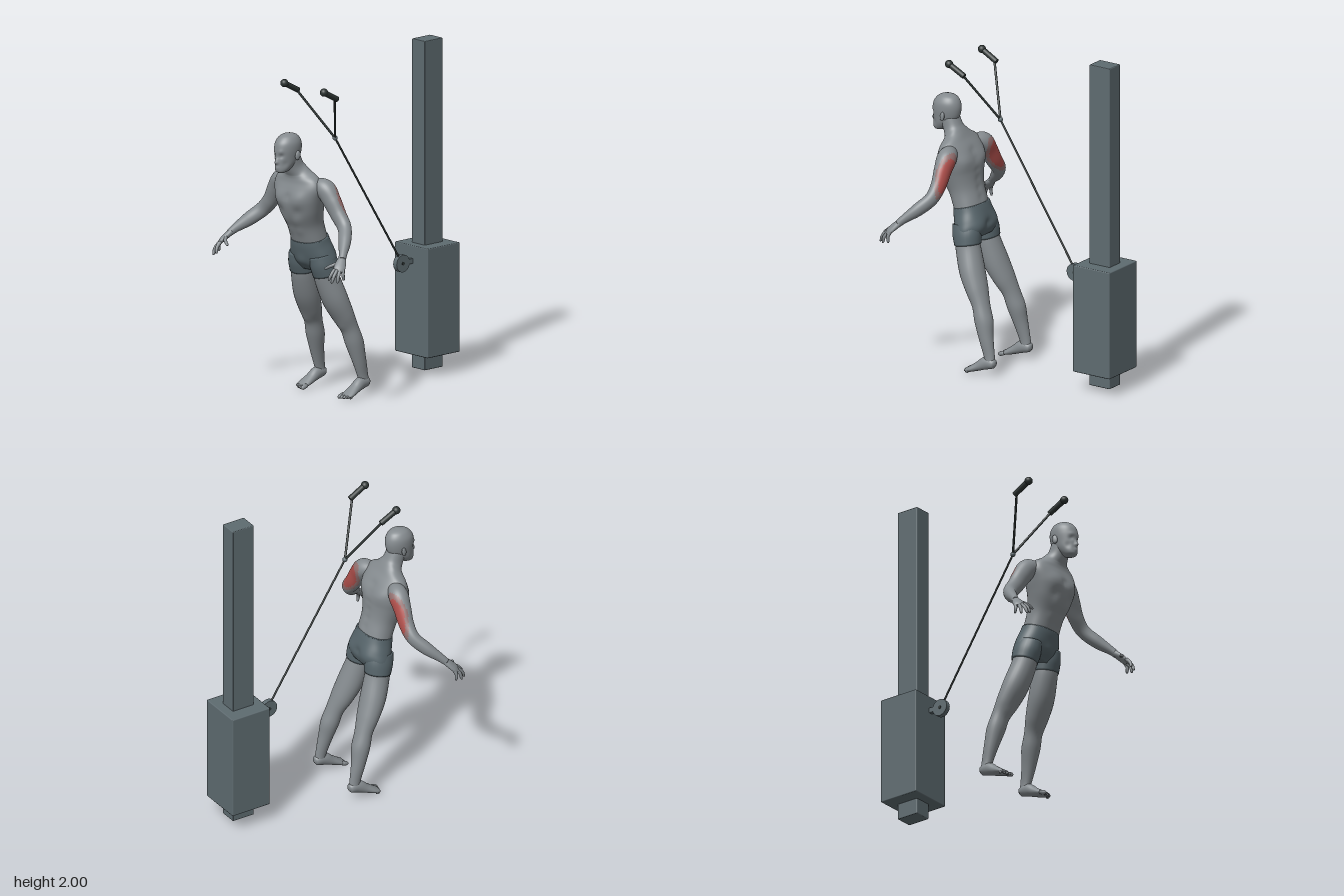
import * as THREE from 'three';
import { RoundedBoxGeometry } from 'three/addons/geometries/RoundedBoxGeometry.js';

const mat = (name, color) => {
  const m = new THREE.MeshStandardMaterial({ color });
  m.name = name;
  return m;
};
const V = (x, y, z) => new THREE.Vector3(x, y, z);

export function createModel() {
  const skin = mat('skin grey', 0x858b8f);
  const tint = mat('muscle edge', 0x92706f);
  const red = mat('worked muscle', 0xb0504c);
  const cloth = mat('shorts grey', 0x56646a);
  const steel = mat('machine grey', 0x5e6b70);
  const dark = mat('cable black', 0x2e3534);

  const model = new THREE.Group();
  const group = (name, parent = model) => {
    const g = new THREE.Group();
    g.name = name;
    parent.add(g);
    return g;
  };
  const add = (parent, name, geo, material, pos) => {
    const m = new THREE.Mesh(geo, material);
    m.name = name;
    if (pos) m.position.set(...pos);
    parent.add(m);
    return m;
  };
  // Straight rod between two points
  const rod = (parent, name, a, b, r, material, sides = 12) => {
    const d = b.clone().sub(a);
    const m = add(parent, name, new THREE.CylinderGeometry(r, r, d.length(), sides), material);
    m.position.copy(a).addScaledVector(d, 0.5);
    m.quaternion.setFromUnitVectors(V(0, 1, 0), d.normalize());
    return m;
  };

  // Smooth skin over elliptical sections [x, y, z, half-width along ref, half-depth].
  // bumps: [x, y, z, radius, push], mirrored in x. pick: material index per face.
  const loft = (sections, { ref = V(1, 0, 0), normal, seg = 28, sub = 6, power = 1, bumps = [], pick } = {}) => {
    const path = new THREE.CatmullRomCurve3(sections.map(s => V(s[0], s[1], s[2])), false, 'catmullrom');
    const size = new THREE.CatmullRomCurve3(sections.map(s => V(s[3], s[4], 0)), false, 'catmullrom');
    const rows = (sections.length - 1) * sub, pos = [], lists = [[], [], []];
    const outs = [];
    const sp = v => Math.sign(v) * Math.abs(v) ** power;
    for (let i = 0; i <= rows; i++) {
      const c = path.getPoint(i / rows), r = size.getPoint(i / rows);
      const n = normal || path.getTangent(i / rows);
      const u = ref.clone().addScaledVector(n, -ref.dot(n)).normalize();
      const v = n.clone().cross(u);
      for (let j = 0; j < seg; j++) {
        const a = j / seg * Math.PI * 2;
        const o = u.clone().multiplyScalar(r.x * sp(Math.cos(a))).addScaledVector(v, r.y * sp(Math.sin(a)));
        const p = c.clone().add(o), dir = o.normalize();
        let push = 0;
        for (const [x, y, z, rad, h] of bumps) {
          const d2 = (Math.abs(p.x) - x) ** 2 + (p.y - y) ** 2 + (p.z - z) ** 2;
          push += h * Math.exp(-d2 / (rad * rad));
        }
        p.addScaledVector(dir, push);
        pos.push(p.x, p.y, p.z);
        outs.push(dir);
      }
    }
    for (let i = 0; i < rows; i++) for (let j = 0; j < seg; j++) {
      const k = (j + 1) % seg, a = i * seg + j, b = i * seg + k, c = a + seg, d = b + seg;
      lists[pick ? pick((i + 0.5) / rows, outs[a]) : 0].push(a, b, d, a, d, c);
    }
    // Closed ends
    const first = path.getPoint(0), last = path.getPoint(1), e = pos.length / 3;
    pos.push(first.x, first.y, first.z, last.x, last.y, last.z);
    for (let j = 0; j < seg; j++) {
      const k = (j + 1) % seg;
      lists[0].push(e, k, j, e + 1, rows * seg + j, rows * seg + k);
    }
    const geo = new THREE.BufferGeometry();
    geo.setAttribute('position', new THREE.Float32BufferAttribute(pos, 3));
    geo.setIndex(lists.flat());
    let start = 0;
    if (pick) lists.forEach((l, i) => { geo.addGroup(start, l.length, i); start += l.length; });
    geo.computeVertexNormals();
    return geo;
  };
  const flip = (sections, s) => sections.map(([x, ...rest]) => [x * s, ...rest]);

  // Cable tower
  const tower = group('cableTower');
  add(tower, 'column', new RoundedBoxGeometry(0.11, 1.97, 0.145, 2, 0.005), steel, [0, 1.015, -0.56]);
  add(tower, 'weightHousing', new RoundedBoxGeometry(0.28, 0.655, 0.26, 2, 0.006), steel, [0, 0.4525, -0.56]);
  add(tower, 'pulleyBracket', new THREE.BoxGeometry(0.028, 0.03, 0.09), steel, [0, 0.688, -0.392]);
  add(tower, 'pulley', new THREE.CylinderGeometry(0.052, 0.052, 0.03, 32), steel, [0, 0.685, -0.352]).rotation.z = Math.PI / 2;
  rod(tower, 'pulleyAxle', V(-0.018, 0.685, -0.352), V(0.018, 0.685, -0.352), 0.01, dark);

  // Cable, ring and twin handles
  const rope = group('cable');
  const knot = V(0, 1.52, 0.18);
  rod(rope, 'mainCable', V(0, 0.715, -0.338), knot, 0.006, dark);
  add(rope, 'ring', new THREE.SphereGeometry(0.015, 16, 12), steel, knot.toArray());
  for (const s of [1, -1]) {
    const low = V(s * 0.165, 1.803, 0.322), high = V(s * 0.168, 1.86, 0.428);
    rod(rope, 'strap', knot, V(s * 0.162, 1.806, 0.335), 0.007, dark);
    rod(rope, 'handleGrip', low, high, 0.017, dark, 20);
    add(rope, 'handleBall', new THREE.SphereGeometry(0.024, 20, 14), dark, high.toArray());
  }

  // Torso and neck
  const body = group('figure');
  const spine = Array.from({ length: 6 }, (_, i) => [0, 1.02 + i * 0.055, 0.325 + i * 0.01, 0.024, -0.006]);
  add(body, 'torso', loft([
    [0, 0.93, 0.378, 0.122, 0.085], [0, 0.98, 0.394, 0.118, 0.088], [0, 1.06, 0.42, 0.12, 0.092],
    [0, 1.15, 0.447, 0.145, 0.11], [0, 1.22, 0.458, 0.165, 0.112], [0, 1.29, 0.468, 0.18, 0.09],
    [0, 1.34, 0.48, 0.155, 0.067], [0, 1.375, 0.493, 0.095, 0.058], [0, 1.41, 0.513, 0.062, 0.056],
    [0, 1.47, 0.54, 0.056, 0.056],
  ], {
    seg: 56, power: 0.9,
    bumps: [[0.075, 1.225, 0.56, 0.05, 0.012], [0, 1.23, 0.575, 0.022, -0.009], [0.09, 1.26, 0.36, 0.05, 0.012],
      [0.035, 1.08, 0.525, 0.03, 0.005], [0.035, 1.02, 0.5, 0.03, 0.005], [0.07, 1.14, 0.55, 0.03, -0.008], ...spine],
  }), skin);

  // Head with brow, eye sockets, nose, lips and ears
  add(body, 'head', loft([
    [0, 1.384, 0.612, 0.018, 0.02], [0, 1.395, 0.604, 0.036, 0.042], [0, 1.43, 0.582, 0.053, 0.065],
    [0, 1.47, 0.564, 0.062, 0.083], [0, 1.52, 0.558, 0.069, 0.09], [0, 1.56, 0.556, 0.067, 0.084],
    [0, 1.59, 0.553, 0.052, 0.064], [0, 1.605, 0.552, 0.032, 0.039], [0, 1.612, 0.552, 0.006, 0.007],
  ], {
    normal: V(0, 1, 0), seg: 64, sub: 8,
    bumps: [[0.026, 1.489, 0.635, 0.015, -0.009], [0.025, 1.51, 0.64, 0.016, 0.004], [0, 1.448, 0.648, 0.011, 0.017],
      [0, 1.465, 0.648, 0.01, 0.009], [0, 1.416, 0.64, 0.013, 0.007], [0.04, 1.44, 0.62, 0.02, -0.005]],
  }), skin);
  for (const s of [1, -1]) {
    const ear = add(body, 'ear', new THREE.SphereGeometry(1, 18, 12), skin, [s * 0.07, 1.487, 0.545]);
    ear.scale.set(0.009, 0.028, 0.017);
    ear.rotation.set(-0.2, s * -0.3, 0);
  }

  // Shorts
  add(body, 'shortsSeat', loft([
    [0, 0.967, 0.386, 0.124, 0.092], [0, 0.93, 0.377, 0.133, 0.096], [0, 0.88, 0.363, 0.15, 0.096],
    [0, 0.83, 0.35, 0.162, 0.088], [0, 0.785, 0.34, 0.145, 0.066],
  ], {
    seg: 56, power: 0.9,
    bumps: [[0.075, 0.86, 0.28, 0.05, 0.013], [0, 0.87, 0.275, 0.022, -0.012], [0, 0.83, 0.44, 0.035, 0.01]],
  }), cloth);

  for (const s of [1, -1]) {
    const side = group(s > 0 ? 'leftLimbs' : 'rightLimbs', body);
    add(side, 'shortsLeg', loft(flip([
      [0.085, 0.87, 0.367, 0.065, 0.085], [0.092, 0.81, 0.355, 0.077, 0.088], [0.098, 0.748, 0.343, 0.079, 0.079],
    ], s)), cloth);

    // Leg
    add(side, 'leg', loft(flip([
      [0.095, 0.8, 0.355, 0.068, 0.072], [0.1, 0.72, 0.337, 0.074, 0.075], [0.12, 0.6, 0.296, 0.081, 0.074],
      [0.138, 0.5, 0.25, 0.073, 0.063], [0.153, 0.42, 0.212, 0.058, 0.051], [0.166, 0.33, 0.185, 0.055, 0.052],
      [0.178, 0.22, 0.156, 0.04, 0.043], [0.183, 0.13, 0.133, 0.028, 0.035], [0.185, 0.07, 0.12, 0.028, 0.03],
    ], s), { bumps: [[0.15, 0.43, 0.265, 0.03, 0.006], [0.16, 0.33, 0.135, 0.05, 0.006]] }), skin);

    // Foot and toes, heel raised
    add(side, 'foot', loft(flip([
      [0.185, 0.083, 0.086, 0.012, 0.012], [0.185, 0.084, 0.102, 0.028, 0.029], [0.185, 0.08, 0.15, 0.033, 0.038],
      [0.187, 0.054, 0.2, 0.037, 0.028], [0.19, 0.03, 0.25, 0.043, 0.019], [0.19, 0.02, 0.28, 0.038, 0.012],
    ], s)), skin);
    for (let i = 0; i < 5; i++) {
      const x = 0.156 + i * 0.0165, r = i ? 0.009 : 0.013, tip = 0.302 - i * i * 0.0018;
      add(side, 'toe', loft(flip([
        [x, 0.026, 0.262, r, r], [x, 0.016, tip - 0.012, r, r], [x, 0.012, tip, r * 0.4, r * 0.4],
      ], s), { seg: 10, sub: 3 }), skin);
    }

    // Arm, back of the upper arm highlighted
    add(side, 'arm', loft(flip([
      [0.12, 1.3, 0.45, 0.045, 0.045], [0.185, 1.283, 0.432, 0.058, 0.06], [0.235, 1.222, 0.427, 0.05, 0.058],
      [0.285, 1.147, 0.422, 0.043, 0.051], [0.345, 1.08, 0.43, 0.038, 0.045], [0.405, 1.018, 0.485, 0.036, 0.041],
      [0.455, 0.965, 0.545, 0.025, 0.027], [0.478, 0.935, 0.575, 0.021, 0.021],
    ], s), {
      ref: V(0, 0, 1), seg: 40, sub: 10,
      pick: (t, o) => {
        const w = -o.z + 0.25 * o.y - Math.abs(t - 0.34) ** 2 * 18;
        return w > 0.5 ? 2 : w > 0.12 ? 1 : 0;
      },
    }), [skin, tint, red]);

    // Hand
    const across = V(-0.64 * s, 0, 0.77);
    add(side, 'palm', loft(flip([
      [0.468, 0.947, 0.563, 0.021, 0.02], [0.486, 0.918, 0.593, 0.031, 0.018], [0.5, 0.893, 0.618, 0.034, 0.015],
      [0.508, 0.876, 0.633, 0.027, 0.009],
    ], s), { ref: across, seg: 20 }), skin);
    const fingers = [
      [0.484, 0.89, 0.642, 0.477, 0.828, 0.684], [0.498, 0.886, 0.635, 0.503, 0.815, 0.685],
      [0.508, 0.886, 0.621, 0.523, 0.815, 0.655], [0.515, 0.891, 0.603, 0.53, 0.825, 0.612],
      [0.475, 0.918, 0.607, 0.412, 0.882, 0.655],
    ];
    fingers.forEach(([x, y, z, X, Y, Z], i) => {
      const mid = [(x + X) / 2 + 0.004, (y + Y) / 2 + 0.003, (z + Z) / 2 + 0.006];
      add(side, i < 4 ? 'finger' : 'thumb', loft(flip([
        [x, y, z, 0.011, 0.011], [...mid, 0.01, 0.01], [X * 0.88 + x * 0.12, Y * 0.88 + y * 0.12, Z * 0.88 + z * 0.12, 0.008, 0.008],
        [X, Y, Z, 0.003, 0.003],
      ], s), { ref: across, seg: 12, sub: 4 }), skin);
    });
  }
  return model;
}
